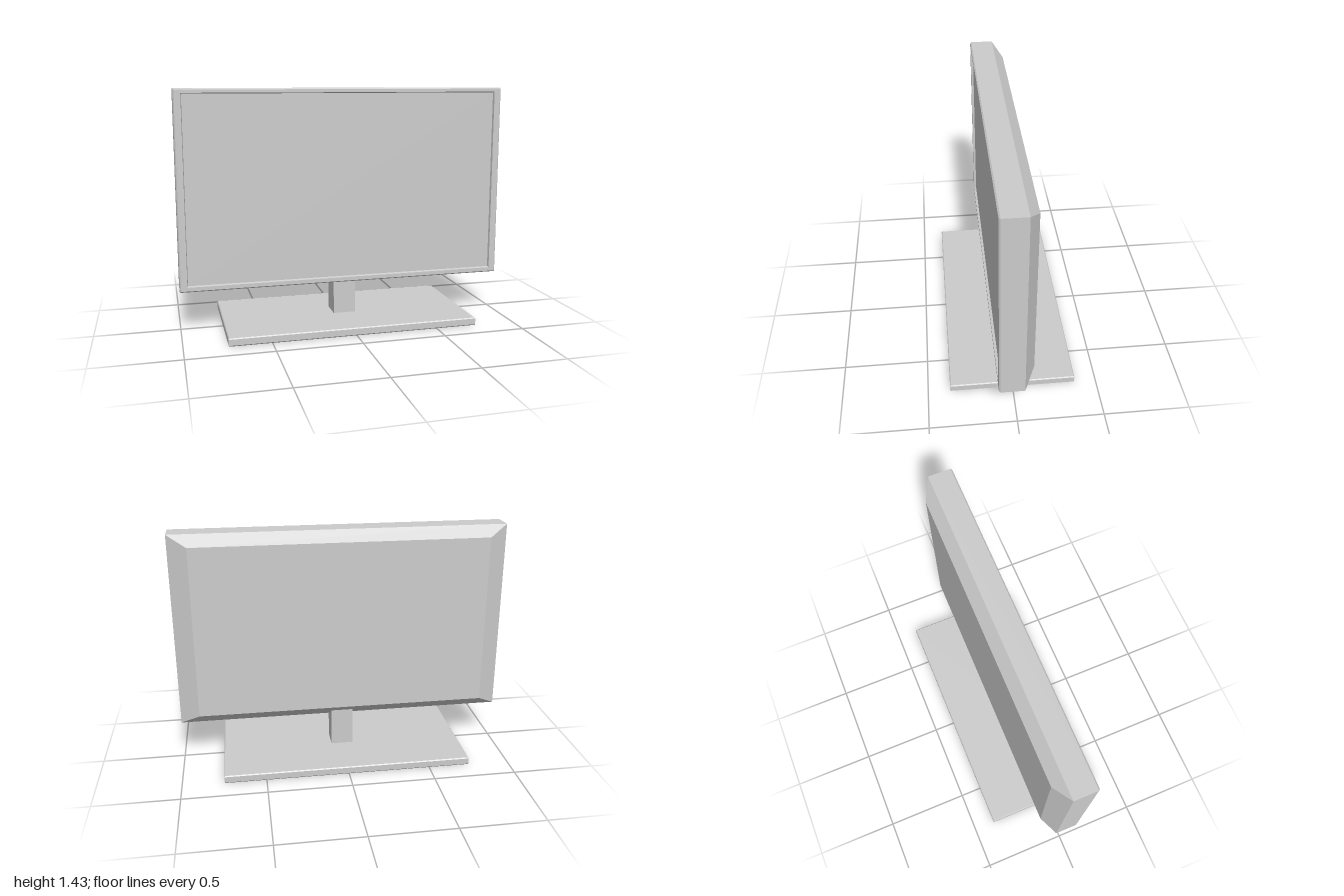
import * as THREE from 'three';

const material = new THREE.MeshStandardMaterial({ color: 0xcccccc, flatShading: true });

// Lofts rectangles [halfWidth, bottom, top, z], in order along +z, into a capped solid.
function loftRects(sections) {
  const rings = sections.map(([w, b, t, z]) => [[-w, b, z], [w, b, z], [w, t, z], [-w, t, z]]);
  const positions = [];
  const quad = (a, b, c, d) => positions.push(...a, ...b, ...c, ...a, ...c, ...d);
  for (let s = 0; s < rings.length - 1; s++) {
    for (let i = 0; i < 4; i++) {
      const j = (i + 1) % 4;
      quad(rings[s][i], rings[s][j], rings[s + 1][j], rings[s + 1][i]);
    }
  }
  const first = rings[0];
  quad(first[3], first[2], first[1], first[0]);
  quad(...rings[rings.length - 1]);
  const geometry = new THREE.BufferGeometry();
  geometry.setAttribute('position', new THREE.Float32BufferAttribute(positions, 3));
  geometry.computeVertexNormals();
  return geometry;
}

export function createModel() {
  const group = new THREE.Group();
  const add = (name, geometry) => {
    const mesh = new THREE.Mesh(geometry, material);
    mesh.name = name;
    group.add(mesh);
    return mesh;
  };

  // Housing: tapered back, straight sides, bevelled rim
  // and a frame stepping in to the recessed screen
  add('screenHousing', loftRects([
    [0.885, 0.32, 1.37, -0.103],
    [1, 0.255, 1.435, -0.04],
    [1, 0.255, 1.435, 0.097],
    [0.993, 0.262, 1.428, 0.105],
    [0.956, 0.285, 1.41, 0.105],
    [0.952, 0.29, 1.405, 0.09],
  ]));

  // Square neck, running up into the housing
  add('neck', new THREE.BoxGeometry(0.136, 0.26, 0.136)).position.set(0, 0.17, 0);

  // Foot plate with small bevels above and below
  const foot = loftRects([
    [0.745, -0.365, 0.365, 0],
    [0.75, -0.37, 0.37, 0.006],
    [0.75, -0.37, 0.37, 0.042],
    [0.745, -0.365, 0.365, 0.048],
  ]);
  foot.rotateX(-Math.PI / 2);
  add('footPlate', foot);

  return group;
}
